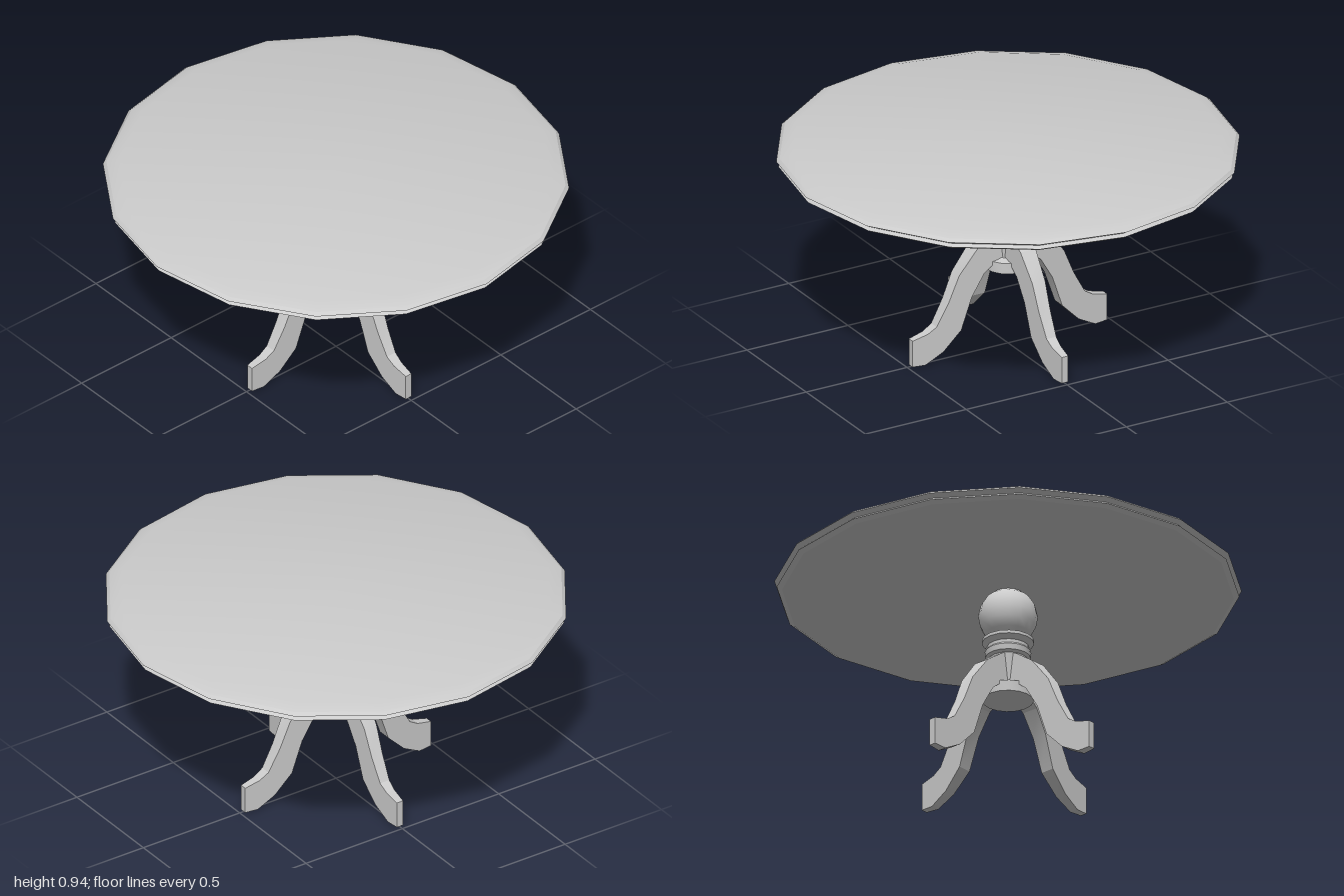
import * as THREE from 'three';
import { toCreasedNormals } from 'three/addons/utils/BufferGeometryUtils.js';

const material = new THREE.MeshStandardMaterial({ color: 0xcccccc });

function part(name, geometry, crease) {
  const mesh = new THREE.Mesh(toCreasedNormals(geometry, crease), material);
  mesh.name = name;
  return mesh;
}

// Revolves [radius, height] pairs, listed from bottom to top
function turned(name, profile, crease) {
  const points = profile.map(([r, y]) => new THREE.Vector2(r, y));
  return part(name, new THREE.LatheGeometry(points, 16), crease);
}

// Side outline of a leg, extruded and tapered in thickness towards the foot
function legGeometry() {
  const outline = [
    [0.04, 0.565], [0.08, 0.56], [0.17, 0.5], [0.26, 0.387], [0.31, 0.27],
    [0.367, 0.168], [0.41, 0.142], [0.482, 0.125], [0.482, 0.003], [0.42, 0.0],
    [0.335, 0.045], [0.25, 0.13], [0.2, 0.275], [0.14, 0.375], [0.075, 0.427], [0.04, 0.44],
  ];
  const shape = new THREE.Shape(outline.map(([x, y]) => new THREE.Vector2(x, y)));
  const geometry = new THREE.ExtrudeGeometry(shape, { depth: 2, bevelEnabled: false });
  geometry.translate(0, 0, -1);
  const pos = geometry.attributes.position;
  for (let i = 0; i < pos.count; i++) {
    const t = (pos.getX(i) - 0.08) / 0.4;
    pos.setZ(i, pos.getZ(i) * THREE.MathUtils.lerp(0.044, 0.016, t));
  }
  return geometry;
}

export function createModel() {
  const table = new THREE.Group();
  table.name = 'pedestalTable';

  // Sixteen-sided top with a chamfer and a grooved rim
  table.add(turned('tabletop', [
    [0, 0.875], [0.967, 0.875], [0.99, 0.888], [0.975, 0.9],
    [1.0, 0.914], [0.985, 0.927], [0.93, 0.944], [0, 0.944],
  ], 0.4));

  // Ball under the top
  table.add(turned('ball', [
    [0.065, 0.655], [0.1, 0.685], [0.12, 0.725], [0.128, 0.77],
    [0.118, 0.815], [0.092, 0.855], [0.06, 0.878],
  ], 0.7));

  // Collar mouldings, post and base disc
  table.add(turned('post', [
    [0, 0.373], [0.11, 0.373], [0.11, 0.422], [0.07, 0.43], [0.085, 0.565],
    [0.097, 0.575], [0.1, 0.6], [0.09, 0.61], [0.09, 0.625], [0.112, 0.643],
    [0.112, 0.657], [0.06, 0.662], [0, 0.662],
  ], 0.6));

  // Four splayed legs
  const geometry = legGeometry();
  for (let i = 0; i < 4; i++) {
    const leg = part(`leg${i + 1}`, geometry, 0.3);
    leg.rotation.y = i * Math.PI / 2;
    table.add(leg);
  }
  return table;
}
